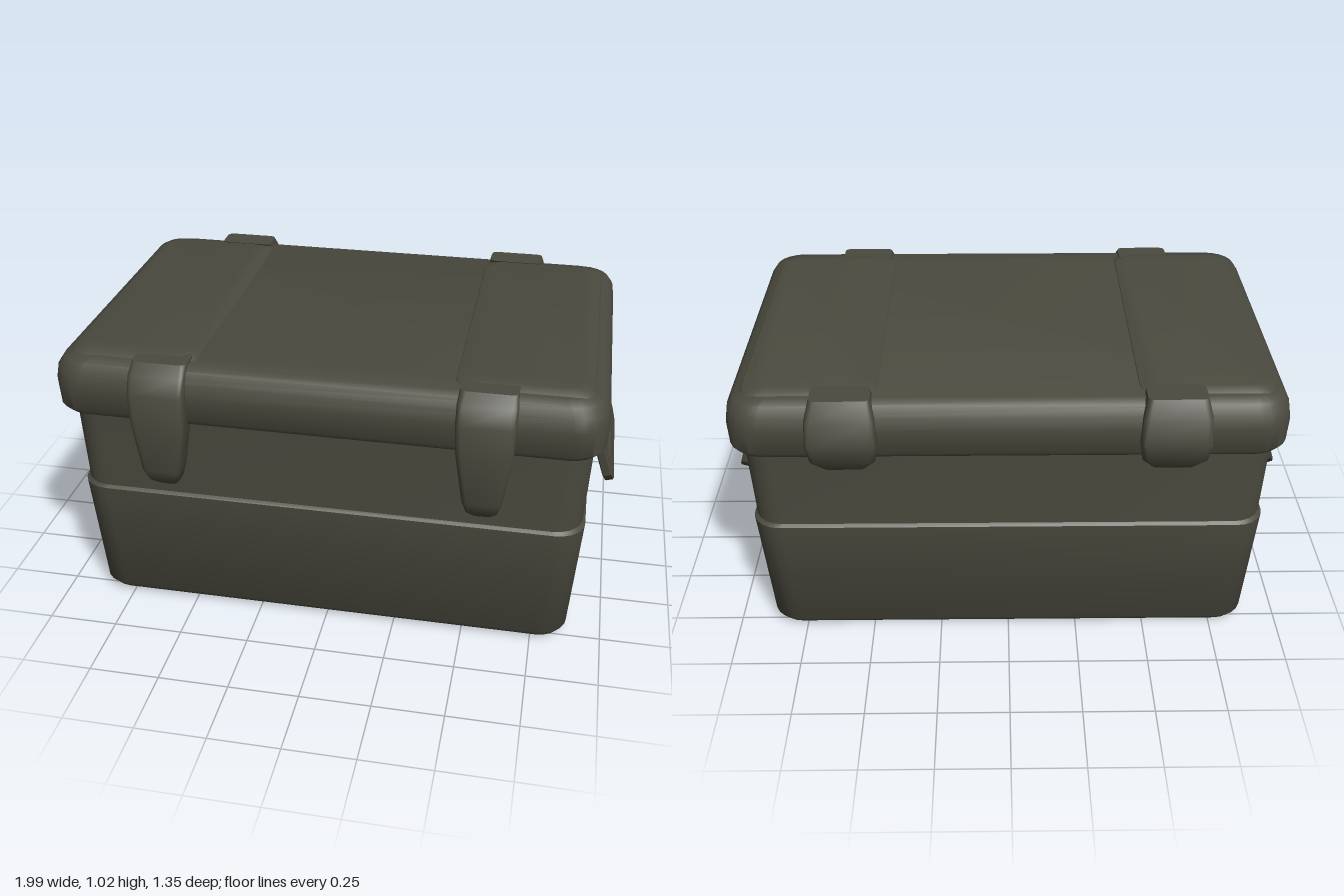
import * as THREE from 'three';
import { toCreasedNormals } from 'three/addons/utils/BufferGeometryUtils.js';

// Rounded-rectangle ring of points: half sizes, corner radius, centre
function ring([y, hx, hz, r, cx = 0, cz = 0], steps) {
  const pts = [];
  const corners = [[1, 1], [-1, 1], [-1, -1], [1, -1]];
  corners.forEach(([sx, sz], c) => {
    for (let i = 0; i <= steps; i++) {
      const a = (c + i / steps) * Math.PI / 2;
      pts.push([cx + sx * (hx - r) + r * Math.cos(a), y, cz + sz * (hz - r) + r * Math.sin(a)]);
    }
  });
  return pts;
}

// Closed solid through a stack of rings, listed from bottom to top
function loft(sections, steps = 5, crease = 0.7) {
  const n = 4 * (steps + 1), pos = [], index = [];
  sections.forEach(s => ring(s, steps).forEach(p => pos.push(...p)));
  for (let k = 0; k < sections.length - 1; k++) {
    for (let i = 0; i < n; i++) {
      const a = k * n + i, b = k * n + (i + 1) % n;
      index.push(a, a + n, b, b, a + n, b + n);
    }
  }
  const last = (sections.length - 1) * n;
  for (let i = 1; i < n - 1; i++) {
    index.push(0, i, i + 1);
    index.push(last, last + i + 1, last + i);
  }
  const g = new THREE.BufferGeometry();
  g.setAttribute('position', new THREE.Float32BufferAttribute(pos, 3));
  g.setIndex(index);
  return toCreasedNormals(g, crease);
}

export function createModel() {
  const model = new THREE.Group();
  model.name = 'coolerBox';
  const olive = new THREE.MeshStandardMaterial({ color: 0x4b4a3f });
  olive.name = 'dark olive';

  const add = (name, geometry, parent = model) => {
    const mesh = new THREE.Mesh(geometry, olive);
    mesh.name = name;
    parent.add(mesh);
    return mesh;
  };

  // Tapered tub with a softened bottom edge and a slight step halfway up
  add('tub', loft([
    [0.01, 0.83, 0.50, 0.08],
    [0.02, 0.86, 0.53, 0.09],
    [0.05, 0.875, 0.555, 0.1],
    [0.49, 0.905, 0.58, 0.1],
    [0.50, 0.895, 0.57, 0.1],
    [0.82, 0.91, 0.575, 0.1],
  ]));

  // Overhanging lid with a rounded rim
  add('lid', loft([
    [0.81, 0.925, 0.61, 0.1],
    [0.83, 0.945, 0.625, 0.11],
    [0.92, 0.948, 0.632, 0.11],
    [0.97, 0.94, 0.625, 0.11],
    [1.0, 0.92, 0.605, 0.1],
    [1.015, 0.88, 0.57, 0.08],
  ]));

  for (const side of [1, -1]) {
    const tag = side > 0 ? 'left' : 'right';

    // Slightly raised end of the lid top
    add(tag + 'LidPanel', loft([
      [1.0, 0.235, 0.57, 0.06, side * 0.665],
      [1.018, 0.225, 0.555, 0.06, side * 0.665],
      [1.028, 0.19, 0.52, 0.05, side * 0.665],
    ]));

    // Tapering front latch, hooked over the lid rim
    const x = side * 0.555;
    add(tag + 'Latch', loft([
      [0.56, 0.035, 0.02, 0.015, x, 0.592],
      [0.59, 0.055, 0.04, 0.02, x, 0.607],
      [0.64, 0.068, 0.055, 0.02, x, 0.613],
      [0.82, 0.095, 0.055, 0.02, x, 0.615],
      [0.93, 0.1, 0.055, 0.02, x, 0.612],
      [0.99, 0.1, 0.055, 0.02, x, 0.585],
      [1.025, 0.095, 0.05, 0.02, x, 0.55],
    ], 3));

    // Rear hinge knuckle
    add(tag + 'Hinge', loft([
      [0.76, 0.07, 0.03, 0.015, x, -0.585],
      [0.81, 0.11, 0.05, 0.02, x, -0.605],
      [0.88, 0.12, 0.05, 0.02, x, -0.625],
      [0.97, 0.115, 0.05, 0.02, x, -0.608],
      [1.03, 0.1, 0.05, 0.02, x, -0.57],
    ], 3));

    // Swinging carry handle: a U-shaped bail leaning outwards
    const outline = new THREE.Shape([
      [-0.27, 0], [-0.25, -0.18], [-0.22, -0.215], [0.22, -0.215], [0.25, -0.18],
      [0.27, 0], [0.21, 0], [0.195, -0.15], [-0.195, -0.15], [-0.21, 0],
    ].map(p => new THREE.Vector2(...p)));
    const bail = new THREE.ExtrudeGeometry(outline, {
      depth: 0.025, bevelEnabled: true, bevelSize: 0.004, bevelThickness: 0.004, bevelSegments: 1,
    });
    bail.translate(0, 0, -0.0125);
    const handle = new THREE.Group();
    handle.name = tag + 'Handle';
    handle.position.set(side * 0.915, 0.725, 0);
    handle.rotation.y = side * Math.PI / 2;
    model.add(handle);
    add(tag + 'HandleBail', bail, handle).rotation.x = -0.31;

    // Pivot blocks holding the bail
    for (const z of [-0.235, 0.235]) {
      add(tag + 'HandlePivot', loft([
        [0.67, 0.02, 0.03, 0.012, side * 0.91, z],
        [0.7, 0.03, 0.04, 0.015, side * 0.91, z],
        [0.74, 0.03, 0.04, 0.015, side * 0.91, z],
        [0.76, 0.02, 0.03, 0.012, side * 0.91, z],
      ], 2));
    }
  }
  return model;
}
